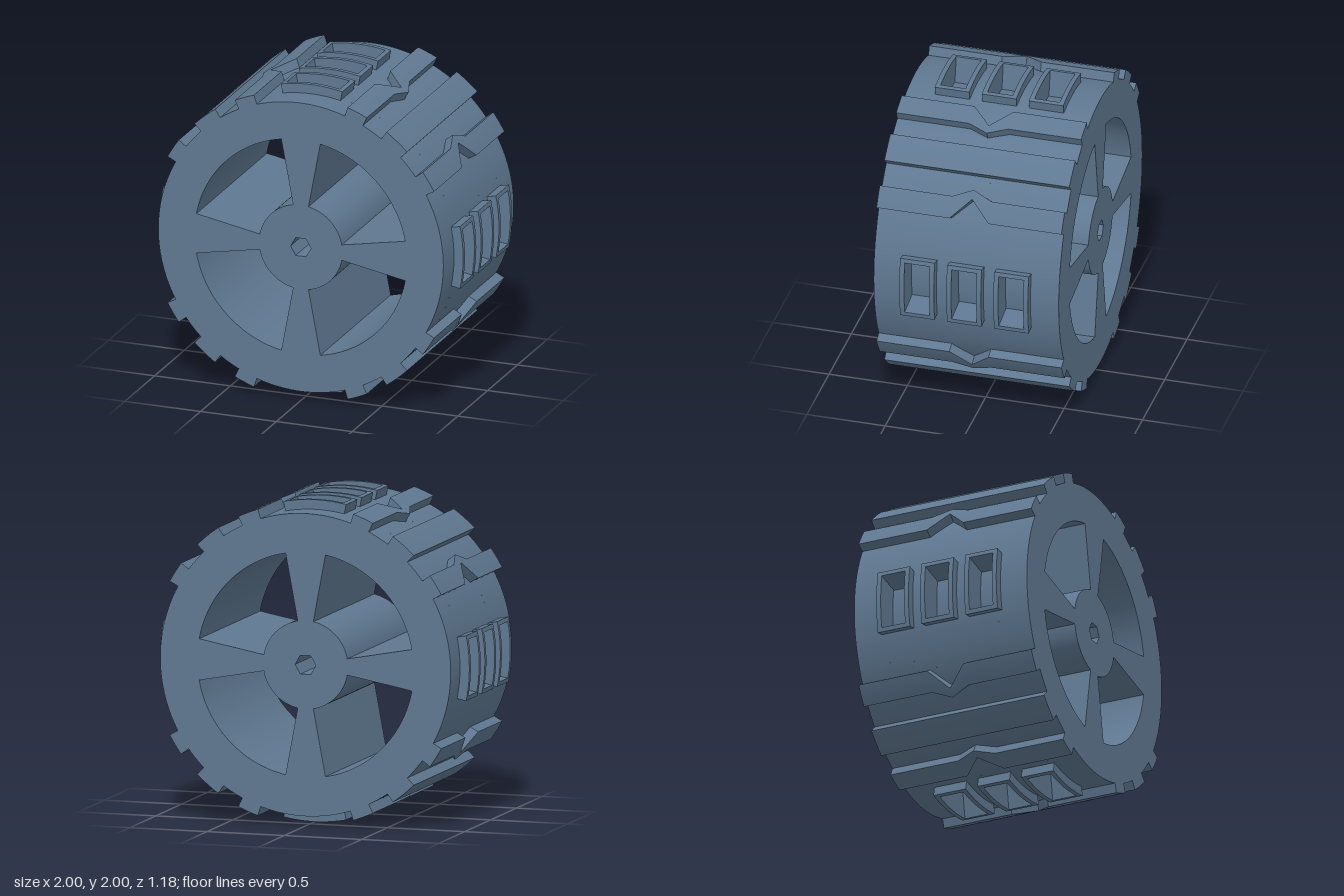
import * as THREE from 'three';
import { mergeGeometries, toCreasedNormals } from 'three/addons/utils/BufferGeometryUtils.js';

const DEG = Math.PI / 180;
const HALF = 0.59;                          // half the wheel width
const R_FLOOR = 0.83, R_BODY = 0.94, R_TREAD = 1, R_ROOT = 0.935;
const PAD = 11.7, WINDOW = 10.1;            // half angles of pad and pad window
const PAD_Z = [-0.3, 0, 0.3];

function extrude(shape, z0, z1, curveSegments) {
  const g = new THREE.ExtrudeGeometry(shape, { depth: z1 - z0, bevelEnabled: false, curveSegments });
  g.translate(0, 0, z0);
  return g;
}

// Curved block between two radii, two angles (degrees) and two depths
function sector(r0, r1, a0, a1, z0, z1, segments) {
  const s = new THREE.Shape();
  s.absarc(0, 0, r1, a0 * DEG, a1 * DEG, false);
  s.absarc(0, 0, r0, a1 * DEG, a0 * DEG, true);
  s.closePath();
  return extrude(s, z0, z1, segments);
}

// Spoked disc: four radial openings and a hexagonal axle hole
function spokedDisc(radius, z0, z1) {
  const s = new THREE.Shape();
  s.absarc(0, 0, radius, 0, Math.PI * 2, false);
  for (let q = 0; q < 4; q++) {
    const a0 = (q * 90 + 10.6) * DEG, a1 = (q * 90 + 79.4) * DEG;
    const h = new THREE.Path();
    h.absarc(0, 0, 0.70, a0, a1, false);
    h.absarc(0, 0, 0.275, a1, a0, true);
    h.closePath();
    s.holes.push(h);
  }
  const hex = [];
  for (let i = 0; i < 6; i++) {
    hex.push(new THREE.Vector2(0.067 * Math.cos(i * 60 * DEG), 0.067 * Math.sin(i * 60 * DEG)));
  }
  s.holes.push(new THREE.Path(hex));
  return extrude(s, z0, z1, 96);
}

function ring(r0, r1, z0, z1) {
  const s = new THREE.Shape();
  s.absarc(0, 0, r1, 0, Math.PI * 2, false);
  const h = new THREE.Path();
  h.absarc(0, 0, r0, 0, Math.PI * 2, true);
  s.holes.push(h);
  return extrude(s, z0, z1, 96);
}

// Tread bar lofted along z; each section is [z, startAngle, endAngle]
function treadBar(sections) {
  const n = 8, pos = [];
  const loops = sections.map(([z, a, b]) => {
    const pts = [];
    const add = (r, t) => {
      const ang = (a + (b - a) * t) * DEG;
      pts.push([r * Math.cos(ang), r * Math.sin(ang), z]);
    };
    for (let i = 0; i <= n; i++) add(R_TREAD, i / n);
    for (let i = n; i >= 0; i--) add(R_ROOT, i / n);
    return pts;
  });
  const quad = (a, b, c, d) => pos.push(...a, ...b, ...c, ...a, ...c, ...d);
  const m = 2 * (n + 1);
  for (let k = 0; k < loops.length - 1; k++) {
    const lo = loops[k], hi = loops[k + 1];
    for (let i = 0; i < m; i++) {
      const j = (i + 1) % m;
      quad(lo[i], lo[j], hi[j], hi[i]);
    }
  }
  const back = loops[0], front = loops[loops.length - 1];
  for (let i = 0; i < n; i++) {
    const p = m - 1 - i;
    quad(front[i], front[i + 1], front[p - 1], front[p]);
    quad(back[i], back[p], back[p - 1], back[i + 1]);
  }
  const g = new THREE.BufferGeometry();
  g.setAttribute('position', new THREE.Float32BufferAttribute(pos, 3));
  return g;
}

export function createModel() {
  const model = new THREE.Group();
  model.name = 'wheel';
  const wheel = new THREE.Group();
  wheel.name = 'wheelAssembly';
  wheel.position.y = 1;
  model.add(wheel);

  const slate = new THREE.MeshStandardMaterial({ color: 0x5f7891 });
  slate.name = 'slateBlue';

  function addPart(name, geometry) {
    const mesh = new THREE.Mesh(toCreasedNormals(geometry, 20 * DEG), slate);
    mesh.name = name;
    wheel.add(mesh);
  }

  // Spoked body: full discs at both ends, smaller core under the pad windows
  addPart('frontDisc', spokedDisc(R_BODY, 0.38, HALF));
  addPart('backDisc', spokedDisc(R_BODY, -HALF, -0.38));
  addPart('core', spokedDisc(R_FLOOR, -0.38, 0.38));

  // Rim band around the core, left open at the windows
  const band = [ring(R_FLOOR, R_BODY, 0.08, 0.22), ring(R_FLOOR, R_BODY, -0.22, -0.08)];
  for (const z of PAD_Z) {
    for (let q = 0; q < 4; q++) {
      band.push(sector(R_FLOOR, R_BODY, q * 90 + WINDOW, q * 90 + 90 - WINDOW, z - 0.08, z + 0.08, 20));
    }
  }
  addPart('rimBand', mergeGeometries(band));

  // Raised window frames, three on each of the four sides
  for (let q = 0; q < 4; q++) {
    const c = q * 90;
    for (const z of PAD_Z) {
      addPart('windowFrame', mergeGeometries([
        sector(R_ROOT, R_TREAD, c - PAD, c + PAD, z + 0.08, z + 0.11, 14),
        sector(R_ROOT, R_TREAD, c - PAD, c + PAD, z - 0.11, z - 0.08, 14),
        sector(R_ROOT, R_TREAD, c - PAD, c - WINDOW, z - 0.08, z + 0.08, 2),
        sector(R_ROOT, R_TREAD, c + WINDOW, c + PAD, z - 0.08, z + 0.08, 2),
      ]));
    }
  }

  // Tread bars, angles from vertical: [name, side start, side end, middle start, middle end]
  const bars = [
    ['chevronBar', 18, 25.8, 25.5, 28.7],
    ['straightBar', 34.4, 44.5, 34.4, 44.5],
    ['chevronBar', 53.6, 61.5, 50.4, 53.8],
  ];
  for (const [base, sign] of [[90, -1], [90, 1], [270, -1], [270, 1]]) {
    for (const [name, s0, s1, m0, m1] of bars) {
      const at = (z, p, q) => {
        const a = base + sign * p, b = base + sign * q;
        return [z, Math.min(a, b), Math.max(a, b)];
      };
      addPart(name, treadBar([
        at(-HALF, s0, s1), at(-0.125, s0, s1), at(0, m0, m1), at(0.125, s0, s1), at(HALF, s0, s1),
      ]));
    }
  }
  return model;
}
